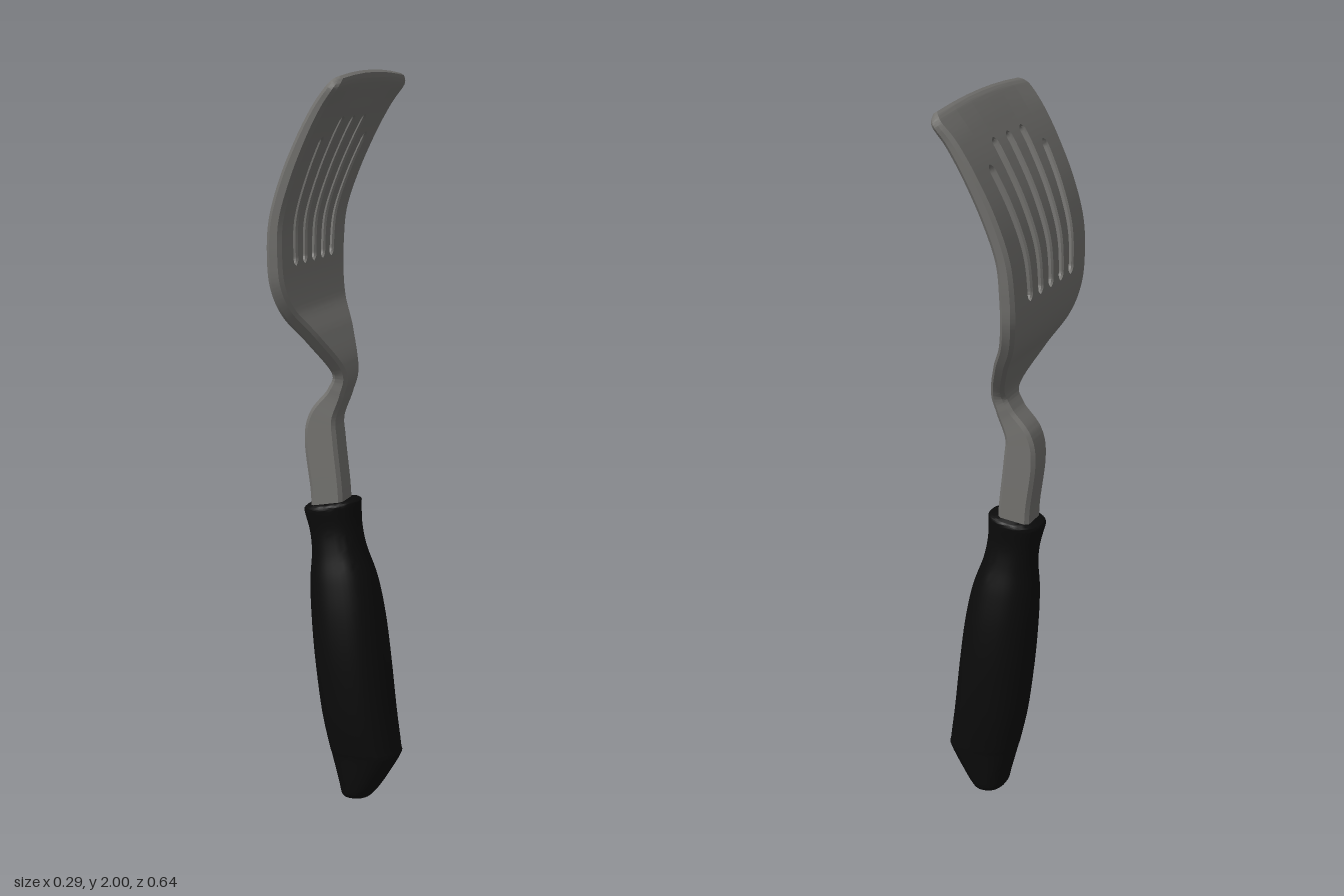
import * as THREE from 'three';
import { toCreasedNormals } from 'three/addons/utils/BufferGeometryUtils.js';

const steel = new THREE.MeshStandardMaterial({ color: 0x73726f });
steel.name = 'grey metal';
const rubber = new THREE.MeshStandardMaterial({ color: 0x0b0b0b });
rubber.name = 'black grip';

// Skin a stack of rings (each counter-clockwise seen from above), with end caps
function loft(rings, crease) {
  const n = rings[0].length, pos = [], index = [];
  rings.forEach((ring) => ring.forEach((p) => pos.push(p.x, p.y, p.z)));
  for (let i = 0; i < rings.length - 1; i++) {
    for (let j = 0; j < n; j++) {
      const a = i * n + j, b = i * n + (j + 1) % n;
      index.push(a, b, b + n, a, b + n, a + n);
    }
  }
  const top = (rings.length - 1) * n;
  for (let j = 1; j < n - 1; j++) {
    index.push(0, j + 1, j);
    index.push(top, top + j, top + j + 1);
  }
  const geo = new THREE.BufferGeometry();
  geo.setAttribute('position', new THREE.Float32BufferAttribute(pos, 3));
  geo.setIndex(index);
  return toCreasedNormals(geo, crease);
}

const spline = (pts) =>
  new THREE.CatmullRomCurve3(pts.map((p) => new THREE.Vector3(...p)), false, 'catmullrom', 0.5);

// Neck and blade stations: x, y, thickness, half width
const bladeStations = [
  [-0.05, 0.78, 0.09, 0.05], [-0.053, 0.87, 0.09, 0.05], [-0.068, 1.0, 0.092, 0.05],
  [-0.064, 1.07, 0.078, 0.05], [-0.026, 1.14, 0.05, 0.051], [-0.012, 1.2, 0.042, 0.066],
  [-0.056, 1.295, 0.042, 0.155], [-0.1, 1.37, 0.042, 0.225], [-0.119, 1.44, 0.042, 0.262],
  [-0.123, 1.52, 0.042, 0.277], [-0.115, 1.62, 0.04, 0.287], [-0.08, 1.73, 0.04, 0.297],
  [-0.03, 1.84, 0.037, 0.307], [0.015, 1.92, 0.034, 0.314], [0.045, 1.97, 0.03, 0.319],
  [0.056, 1.988, 0.024, 0.308], [0.063, 1.998, 0.012, 0.285],
];

// Slot k (-2..2): centre line and half opening at height y
const SLOT_BOTTOM = 1.495, SLOT_HALF = 0.0145;
const slotTop = (k) => (Math.abs(k) === 2 ? 1.835 : 1.888);
const slotCentre = (k, y, half) =>
  k * half * (0.28 + 0.035 * THREE.MathUtils.clamp((y - 1.5) / 0.34, 0, 1));
function slotOpening(k, y) {
  const d = Math.min(y - SLOT_BOTTOM, slotTop(k) - y);
  if (d <= 0) return 0;
  const e = Math.max(0, SLOT_HALF - d);
  return Math.sqrt(SLOT_HALF ** 2 - e * e);
}

function buildBlade() {
  const group = new THREE.Group();
  group.name = 'slottedBladeAndNeck';
  const path = spline(bladeStations.map((s) => [s[0], s[1], 0]));
  const size = spline(bladeStations.map((s) => [s[2], s[3], 0]));
  const ROWS = 220;
  // Six strips side by side; the gaps between them are the slots
  for (let strip = 0; strip < 6; strip++) {
    const rings = [];
    for (let i = 0; i <= ROWS; i++) {
      const t = i / ROWS;
      const c = path.getPoint(t), tan = path.getTangent(t), s = size.getPoint(t);
      const h = s.x / 2, half = s.y;
      const shift = 0.01 * (1 - THREE.MathUtils.smoothstep(c.y, 1.15, 1.4));
      const drop = 0.16 * THREE.MathUtils.smoothstep(c.y, 1.9, 2.0);
      const kl = strip - 3, kr = strip - 2;
      const ol = strip > 0 ? slotOpening(kl, c.y) : 0;
      const or = strip < 5 ? slotOpening(kr, c.y) : 0;
      const z0 = strip > 0 ? slotCentre(kl, c.y, half) + ol : -half;
      const z1 = strip < 5 ? slotCentre(kr, c.y, half) - or : half;
      // Bevel only on open edges
      const b0 = strip > 0 ? Math.min(0.005, ol) : Math.min(0.01, h * 0.6);
      const b1 = strip < 5 ? Math.min(0.005, or) : Math.min(0.01, h * 0.6);
      const section = [
        [z0 + b0, -h], [z1 - b1, -h], [z1, -h + b1], [z1, h - b1],
        [z1 - b1, h], [z0 + b0, h], [z0, h - b0], [z0, -h + b0],
      ];
      rings.push(section.map(([z, n]) => new THREE.Vector3(
        c.x + tan.y * n, c.y - tan.x * n * 0.9 - drop * z * z, z + shift)));
    }
    const mesh = new THREE.Mesh(loft(rings, 0.6), steel);
    mesh.name = 'bladeStrip' + (strip + 1);
    group.add(mesh);
  }
  return group;
}

// Grip stations: y, left x, right x, half depth
const gripStations = [
  [0.004, 0.0, 0.06, 0.045], [0.014, -0.014, 0.073, 0.068], [0.05, -0.024, 0.1, 0.076],
  [0.125, -0.045, 0.145, 0.084], [0.15, -0.052, 0.145, 0.088], [0.25, -0.073, 0.131, 0.098],
  [0.4, -0.092, 0.114, 0.103], [0.52, -0.102, 0.098, 0.099], [0.62, -0.106, 0.076, 0.088],
  [0.7, -0.102, 0.046, 0.074], [0.76, -0.108, 0.033, 0.069], [0.815, -0.122, 0.03, 0.075],
  [0.828, -0.123, 0.03, 0.075], [0.835, -0.115, 0.022, 0.067],
];

function buildGrip() {
  const a = spline(gripStations.map((s) => [s[0], s[1], s[2]]));
  const d = spline(gripStations.map((s) => [s[3], 0, 0]));
  const rings = [], ROWS = 78, SIDES = 40;
  const soft = (v) => Math.sign(v) * Math.abs(v) ** 0.85;
  for (let i = 0; i <= ROWS; i++) {
    const p = a.getPoint(i / ROWS), depth = d.getPoint(i / ROWS).x;
    const cx = (p.y + p.z) / 2, rx = (p.z - p.y) / 2;
    const tilt = 0.16 * THREE.MathUtils.clamp((p.x - 0.5) / 0.33, 0, 1);
    const ring = [];
    for (let j = 0; j < SIDES; j++) {
      const t = (j / SIDES) * Math.PI * 2;
      const dx = rx * soft(Math.sin(t));
      ring.push(new THREE.Vector3(cx + dx, p.x + tilt * dx, 0.01 + depth * soft(Math.cos(t))));
    }
    rings.push(ring);
  }
  const mesh = new THREE.Mesh(loft(rings, 0.7), rubber);
  mesh.name = 'handleGrip';
  return mesh;
}

export function createModel() {
  const model = new THREE.Group();
  model.name = 'slottedSpatula';
  model.add(buildBlade(), buildGrip());
  return model;
}
